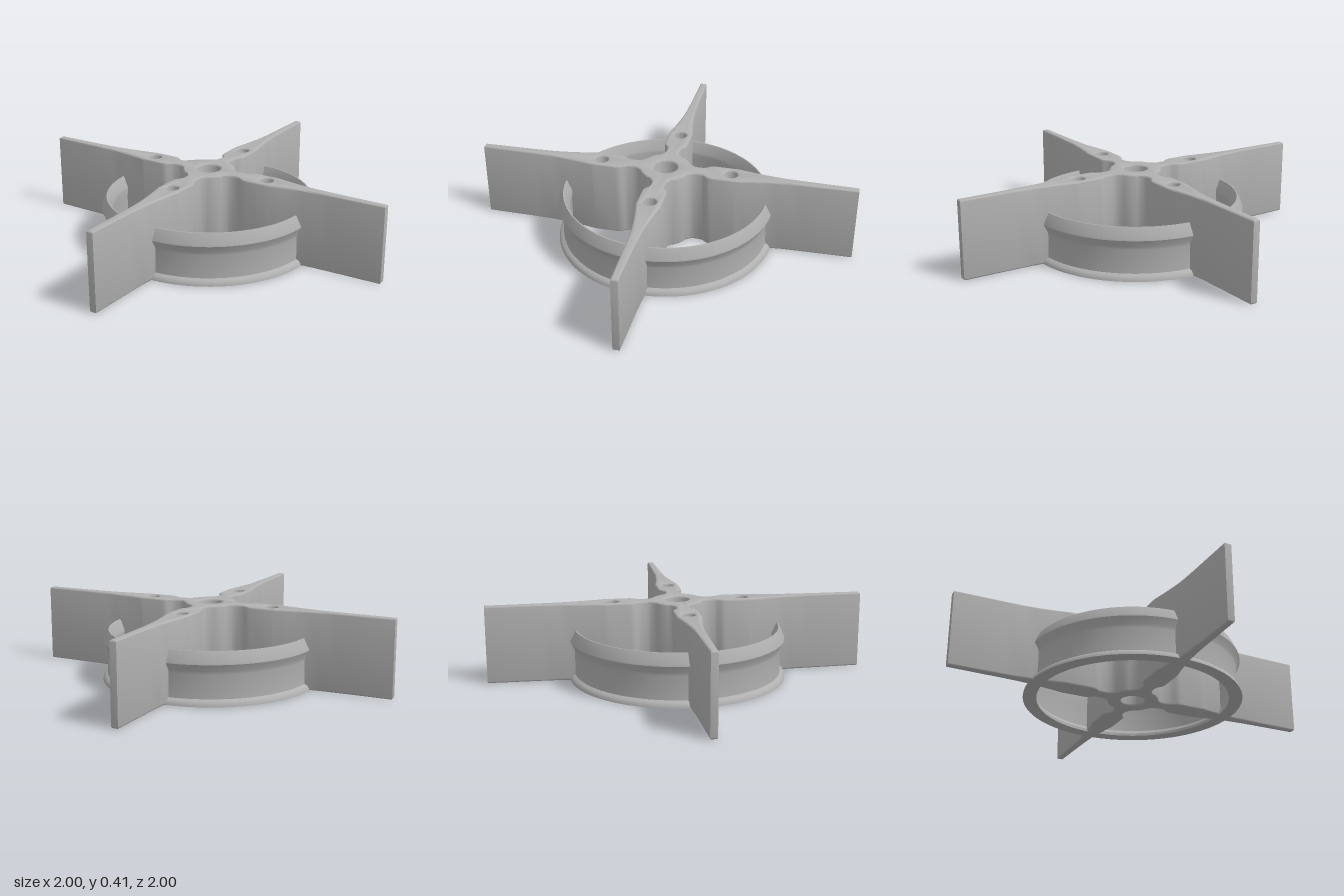
import * as THREE from 'three';
import { toCreasedNormals } from 'three/addons/utils/BufferGeometryUtils.js';

const HEIGHT = 0.41;
const HUB_R = 0.135;
const PEG_R = 0.345; // distance of the blind holes from the axis
const EDGE = 0.009; // rounding of the top and bottom edges

// Half outline of one vane: distance from the axis, half width
const VANE = [
  [0.122, 0.058], [0.14, 0.043], [0.152, 0.037], [0.168, 0.035], [0.195, 0.036],
  [0.21, 0.042], [0.228, 0.057], [0.243, 0.062], [0.26, 0.063], [0.375, 0.063],
  [0.39, 0.061], [0.45, 0.049], [0.51, 0.039], [0.57, 0.031], [0.63, 0.026],
  [0.72, 0.023], [1, 0.018],
];

// Ring section, up the outside and down the inside
const RING = [
  [0.502, 0], [0.572, 0], [0.57, 0.012], [0.562, 0.024], [0.547, 0.033],
  [0.545, 0.155], [0.549, 0.172], [0.567, 0.208], [0.566, 0.216], [0.54, 0.27],
  [0.534, 0.27], [0.509, 0.216], [0.507, 0.2], [0.512, 0.16], [0.512, 0.033], [0.502, 0.015], [0.502, 0],
];

function circleHole(x, y, r) {
  const hole = new THREE.Path();
  hole.absarc(x, y, r, 0, Math.PI * 2, true);
  return hole;
}

// Four-vaned plan: each vane outline followed by an arc of the hub
function planShape() {
  const points = [];
  const start = Math.atan2(VANE[0][1], VANE[0][0]);
  for (let k = 0; k < 4; k++) {
    const turn = k * Math.PI / 2;
    const centre = new THREE.Vector2();
    const add = (x, y) => points.push(new THREE.Vector2(x, y).rotateAround(centre, turn));
    [...VANE].forEach(([r, w]) => add(r, -w));
    [...VANE].reverse().forEach(([r, w]) => add(r, w));
    for (let i = 1; i < 8; i++) {
      const a = start + (Math.PI / 2 - 2 * start) * i / 8;
      add(HUB_R * Math.cos(a), HUB_R * Math.sin(a));
    }
  }
  const shape = new THREE.Shape(points);
  shape.holes.push(circleHole(0, 0, 0.062));
  for (let k = 0; k < 4; k++) {
    const a = k * Math.PI / 2;
    shape.holes.push(circleHole(PEG_R * Math.cos(a), PEG_R * Math.sin(a), 0.034));
  }
  return shape;
}

export function createModel() {
  const model = new THREE.Group();
  model.name = 'vaneWheel';
  const grey = new THREE.MeshStandardMaterial({ color: 0xb0b0b0 });
  grey.name = 'plainGrey';

  const add = (name, geometry) => {
    const mesh = new THREE.Mesh(geometry, grey);
    mesh.name = name;
    model.add(mesh);
    return mesh;
  };

  // Hub and vanes in one piece, with softly rounded edges
  const body = new THREE.ExtrudeGeometry(planShape(), {
    depth: HEIGHT - 2 * EDGE, curveSegments: 16,
    bevelEnabled: true, bevelSize: EDGE, bevelThickness: EDGE, bevelOffset: -EDGE, bevelSegments: 3,
  });
  body.rotateX(-Math.PI / 2).translate(0, EDGE, 0);
  add('hubAndVanes', toCreasedNormals(body, 0.6));

  // Floors that close the small holes from below
  const floorTop = 0.3;
  for (let k = 0; k < 4; k++) {
    const a = k * Math.PI / 2;
    const floor = add('holeFloor', new THREE.CylinderGeometry(0.045, 0.045, floorTop, 32));
    floor.position.set(PEG_R * Math.cos(a), floorTop / 2, PEG_R * Math.sin(a));
  }

  // Flanged ring through the vanes
  const ring = new THREE.LatheGeometry(RING.map(([r, y]) => new THREE.Vector2(r, y)), 96);
  add('ring', toCreasedNormals(ring, 0.45));

  return model;
}
